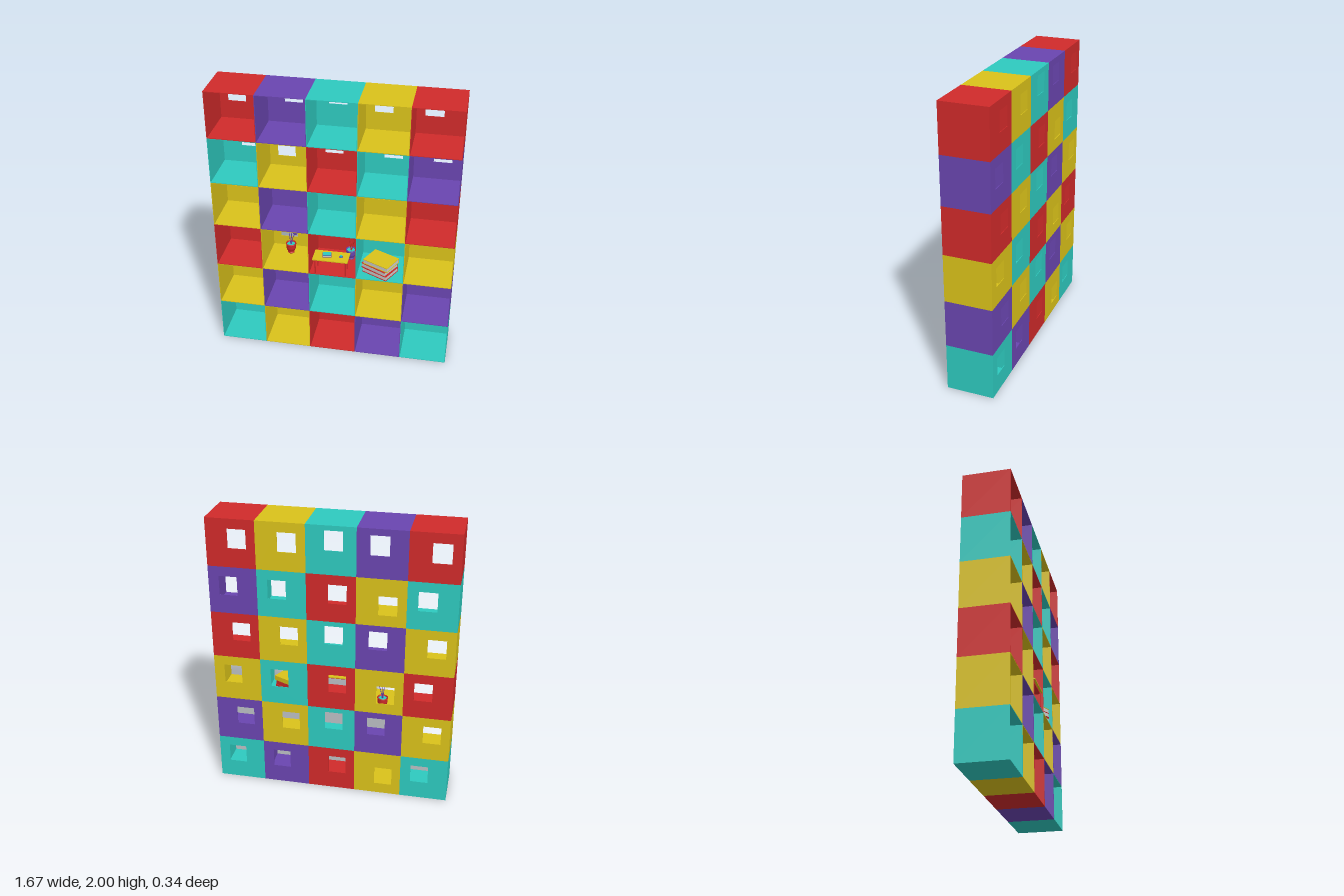
import * as THREE from 'three';

const hex = { R: 0xd02a2a, P: 0x6a45b0, T: 0x2ecabf, Y: 0xdac21a, G: 0xcccccc };
const mats = {};
for (const k in hex) mats[k] = new THREE.MeshStandardMaterial({ color: hex[k], side: THREE.DoubleSide });

const S = 1 / 3, WALL = 0.004, BACK = -0.17, FRONT = 0.16;
const FLOOR = 2 * S + WALL;

function add(parent, name, geometry, color, x = 0, y = 0, z = 0) {
  const mesh = new THREE.Mesh(geometry, mats[color]);
  mesh.name = name;
  mesh.position.set(x, y, z);
  parent.add(mesh);
  return mesh;
}
const box = (w, h, d) => new THREE.BoxGeometry(w, h, d);

function rectPoints(w, h, cx = 0, cy = 0) {
  return [[-1, -1], [1, -1], [1, 1], [-1, 1]]
    .map(([a, b]) => new THREE.Vector2(cx + a * w / 2, cy + b * h / 2));
}
// Square plate or tube with a rectangular opening
function frame(size, w, h, cx, cy, depth) {
  const shape = new THREE.Shape(rectPoints(size, size));
  shape.holes.push(new THREE.Path(rectPoints(w, h, cx, cy).reverse()));
  return new THREE.ExtrudeGeometry(shape, { depth, bevelEnabled: false });
}

// One open-fronted cube with a window in its back wall
function makeCell(color, [wx, wy]) {
  const g = new THREE.Group();
  const inner = S - 2 * WALL;
  add(g, 'cellWalls', frame(S, inner, inner, 0, 0, FRONT - BACK), color, 0, 0, BACK);
  add(g, 'windowWall', frame(inner, 0.125, 0.134, wx, wy, WALL), color, 0, 0, BACK);
  return g;
}

// Potted plant with three broad leaves on thin stems
function makePlant(potColor, leafColor) {
  const g = new THREE.Group();
  const profile = [[0, 0], [0.024, 0], [0.025, 0.006], [0.017, 0.012], [0.031, 0.026], [0.036, 0.045],
    [0.034, 0.066], [0.038, 0.07], [0.038, 0.076], [0.031, 0.076], [0.031, 0.066]]
    .map(([r, y]) => new THREE.Vector2(r, y));
  add(g, 'pot', new THREE.LatheGeometry(profile, 24), potColor);
  add(g, 'soil', new THREE.CylinderGeometry(0.031, 0.031, 0.004, 24), 'T', 0, 0.066, 0);
  // leaf: centre x, y, z, half length, half width, tilt, turn
  const leaves = [
    [-0.023, 0.256, 0.01, 0.038, 0.017, 0.2, 0],
    [0.045, 0.2, 0.01, 0.05, 0.022, -0.35, 0],
    [0.004, 0.265, -0.03, 0.045, 0.02, 0, Math.PI / 2],
  ];
  for (const [x, y, z, len, wid, tilt, turn] of leaves) {
    const blade = new THREE.SphereGeometry(1, 16, 10);
    blade.scale(wid, len, 0.003);
    const leaf = add(g, 'leaf', blade, leafColor, x, y, z);
    leaf.rotation.set(0, turn, tilt);
    const bottom = y - len * 0.9 * Math.cos(tilt);
    const curve = new THREE.QuadraticBezierCurve3(
      new THREE.Vector3(x * 0.1, 0.066, 0),
      new THREE.Vector3(x * 0.2, 0.12, z * 0.5),
      new THREE.Vector3(x + len * 0.9 * Math.sin(tilt), bottom, z));
    add(g, 'stem', new THREE.TubeGeometry(curve, 10, 0.0025, 6), leafColor);
  }
  return g;
}

// Small desk with a book and a cup on top
function makeDesk() {
  const g = new THREE.Group();
  const w = 0.25, d = 0.125, top = 0.122;
  add(g, 'deskTop', box(w, 0.007, d), 'Y', 0, top, 0);
  add(g, 'deskApron', box(w - 0.03, 0.012, d - 0.03), 'R', 0, top - 0.009, 0);
  for (const sx of [-1, 1]) for (const sz of [-1, 1]) {
    add(g, 'deskLeg', box(0.009, top, 0.009), 'R', sx * (w / 2 - 0.018), top / 2 - 0.002, sz * (d / 2 - 0.015));
  }
  const book = makeBook(0.06, 0.015, 0.04, 'P');
  book.name = 'deskBook';
  book.position.set(-0.03, top + 0.0035, 0);
  book.rotation.y = 0.2;
  g.add(book);
  add(g, 'deskBookCover', box(0.055, 0.004, 0.035), 'T', -0.03, top + 0.0205, 0).rotation.y = 0.2;
  add(g, 'cup', new THREE.CylinderGeometry(0.009, 0.007, 0.014, 16), 'T', 0.07, top + 0.0105, 0);
  add(g, 'saucer', new THREE.CylinderGeometry(0.015, 0.012, 0.003, 16), 'P', 0.07, top + 0.005, 0);
  return g;
}

// Closed book: two covers, a spine at the back and a page block
function makeBook(w, h, d, color) {
  const g = new THREE.Group();
  const t = Math.min(0.004, h * 0.15);
  for (const y of [t / 2, h - t / 2]) add(g, 'bookCover', box(w, t, d), color, 0, y, 0);
  add(g, 'bookSpine', box(w, h, t), color, 0, h / 2, -d / 2 + t / 2);
  add(g, 'bookPages', box(w * 0.97, h - 2 * t, d * 0.95), 'G', 0, h / 2, 0);
  return g;
}

export function createModel() {
  const model = new THREE.Group();
  model.name = 'cubeShelf';
  const place = (obj, name, x, y, z) => {
    obj.name = name;
    obj.position.set(x, y, z);
    model.add(obj);
    return obj;
  };

  // Grid of cells, bottom row first
  const colors = ['TYRPT', 'YPTYP', 'RYRTY', 'YPTYR', 'TYRTP', 'RPTYR'];
  const A = [-0.043, 0.032], B = [0.016, 0.055], C = [-0.018, 0.066], D = [0.032, 0.032], E = [-0.043, -0.021];
  const windows = [[D, E, A, D, D], [A, B, C, A, A]];
  colors.forEach((row, r) => [...row].forEach((color, c) => {
    place(makeCell(color, windows[r % 2][c]), 'shelfCell', (c - 2) * S, (r + 0.5) * S, 0);
  }));

  // Furnishings in the third row
  place(makePlant('R', 'P'), 'leftPlant', -0.347, FLOOR, -0.08);
  place(makePlant('P', 'R'), 'middlePlant', 0.095, FLOOR, -0.08);
  place(makeDesk(), 'desk', -0.015, FLOOR, 0.1045);
  const stack = [['R', -0.47, 0], ['R', -0.5, -0.006], ['Y', -0.45, 0.004]];
  stack.forEach(([color, turn, dx], i) => {
    place(makeBook(0.2, 0.035, 0.155, color), 'stackedBook', 0.325 + dx, FLOOR + i * 0.0355, 0.045).rotation.y = turn;
  });
  return model;
}
